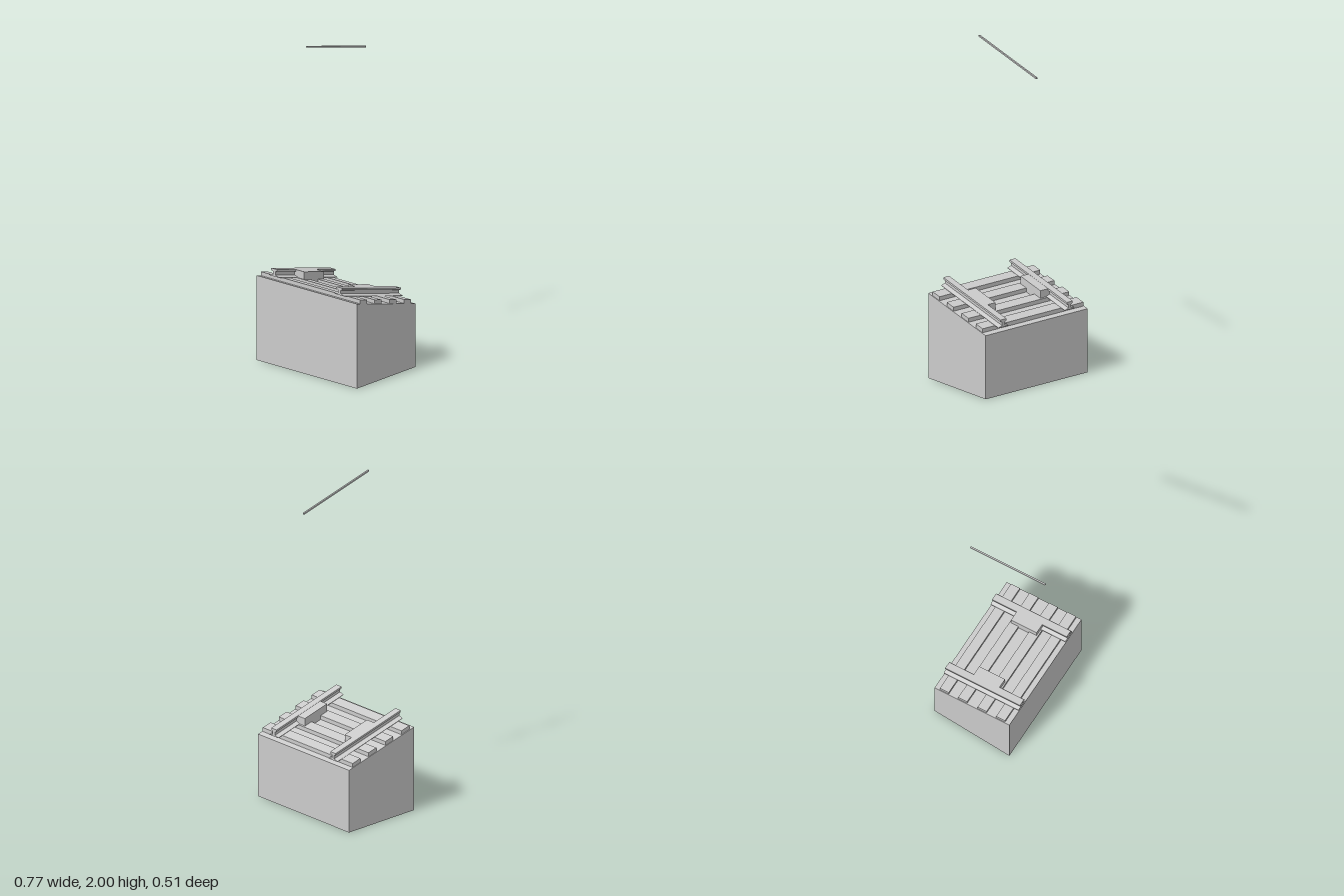
import * as THREE from 'three';

const material = new THREE.MeshStandardMaterial({ color: 0xcccccc, flatShading: true });
const SLOPE = 0.253;     // rise of the deck towards the front
const DECK = 0.4505;     // deck height at z = 0
const HALF_X = 0.385, HALF_Z = 0.256;
const SLEEPER = 0.024, RAIL_TOP = 0.071;   // heights above the deck

// Tilt a geometry along z while keeping its end faces vertical.
function shear(geometry) {
  const p = geometry.attributes.position;
  for (let i = 0; i < p.count; i++) p.setY(i, p.getY(i) + SLOPE * p.getZ(i));
  geometry.computeVertexNormals();
  return geometry;
}

function add(parent, name, geometry) {
  const mesh = new THREE.Mesh(geometry, material);
  mesh.name = name;
  parent.add(mesh);
  return mesh;
}

// Sheared box resting at height y0 and ending at y1 (measured at z = 0).
function slopedBox(x0, x1, y0, y1, z0, z1) {
  const g = new THREE.BoxGeometry(x1 - x0, y1 - y0, z1 - z0);
  g.translate((x0 + x1) / 2, (y0 + y1) / 2, (z0 + z1) / 2);
  return shear(g);
}

export function createModel() {
  const model = new THREE.Group();
  model.name = 'slopedTrack';

  // Solid base with a flat bottom and a sloping top
  const side = new THREE.Shape([
    new THREE.Vector2(-HALF_Z, 0),
    new THREE.Vector2(HALF_Z, 0),
    new THREE.Vector2(HALF_Z, DECK - SLOPE * HALF_Z),
    new THREE.Vector2(-HALF_Z, DECK + SLOPE * HALF_Z),
  ]);
  const base = new THREE.ExtrudeGeometry(side, { depth: 2 * HALF_X, bevelEnabled: false });
  base.translate(0, 0, -HALF_X).rotateY(Math.PI / 2);
  add(model, 'base', base);

  // Sleepers across the deck
  for (const z of [-0.1925, -0.0665, 0.0665, 0.1925]) {
    add(model, 'sleeper', slopedBox(-0.38, 0.38, DECK, DECK + SLEEPER, z - 0.0305, z + 0.0305));
  }

  // Rail section: flared foot, thin web, square head
  const half = [[0.0375, 0], [0.0375, 0.002], [0.01, 0.011], [0.01, 0.031], [0.022, 0.035], [0.022, RAIL_TOP - SLEEPER]];
  const outline = [
    ...half.map(([x, y]) => new THREE.Vector2(x, y)),
    ...half.slice().reverse().map(([x, y]) => new THREE.Vector2(-x, y)),
  ];
  for (const s of [-1, 1]) {
    const rail = new THREE.ExtrudeGeometry(new THREE.Shape(outline), { depth: 2 * HALF_Z, bevelEnabled: false });
    rail.translate(s * 0.25, DECK + SLEEPER, -HALF_Z);
    add(model, s > 0 ? 'leftRail' : 'rightRail', shear(rail));

    // Block fixed against the inside of the rail
    const x = [s * 0.169, s * 0.24].sort((a, b) => a - b);
    add(model, s > 0 ? 'leftBlock' : 'rightBlock',
      slopedBox(x[0], x[1], DECK, DECK + RAIL_TOP - 0.001, -0.088, 0.088));
  }

  // Thin overhead wire, parallel to the deck
  const wireTop = 2 - SLOPE * HALF_Z;
  add(model, 'overheadWire', slopedBox(-0.005, 0.005, wireTop - 0.009, wireTop, -HALF_Z, HALF_Z));

  return model;
}
